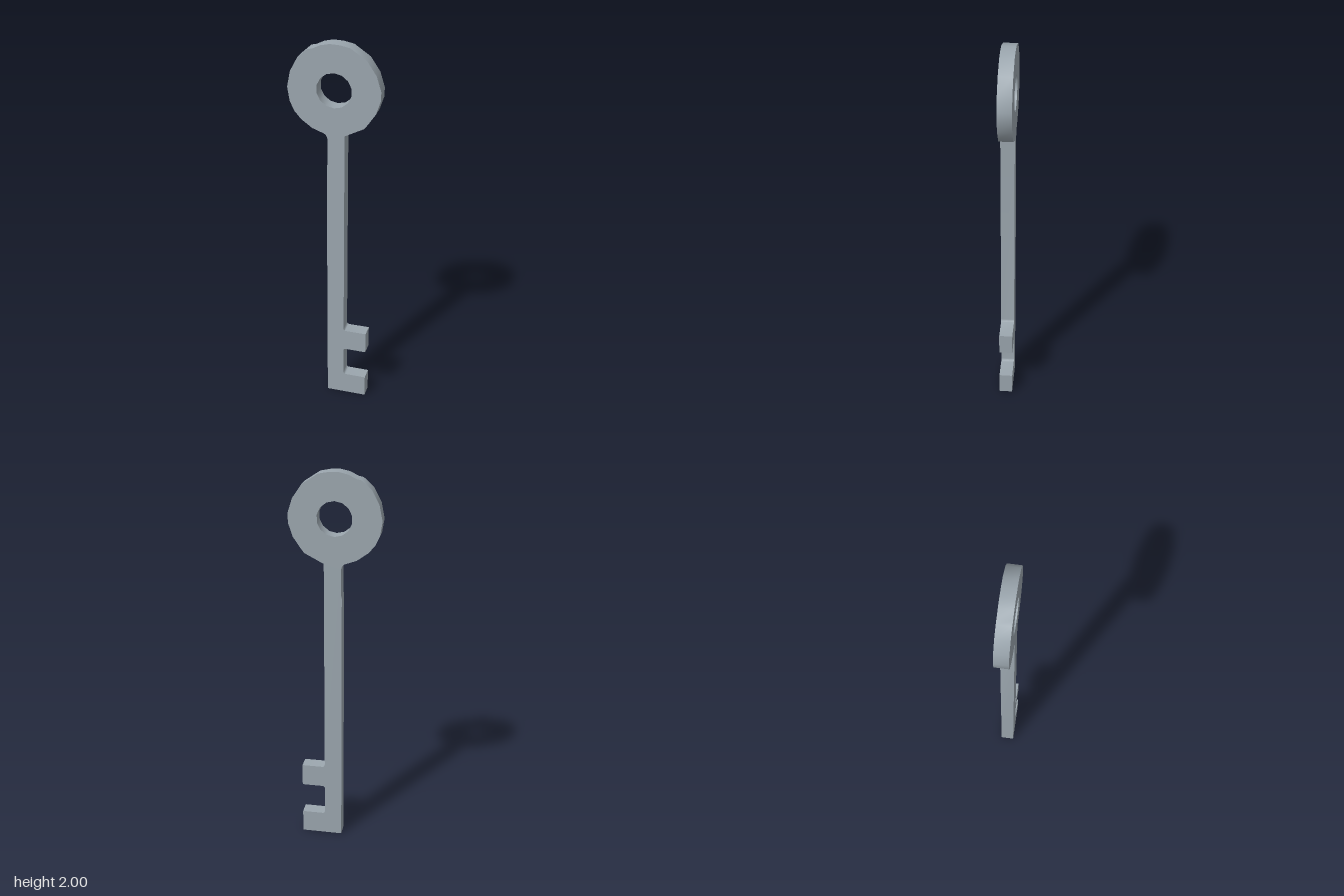
import * as THREE from 'three';
import { toCreasedNormals } from 'three/addons/utils/BufferGeometryUtils.js';

const DEPTH = 0.07;
const LEFT = -0.037, RIGHT = 0.053, BIT = 0.175, FILLET = 0.015;

export function createModel() {
  const steel = new THREE.MeshStandardMaterial({ color: 0x9ba6ae });
  steel.name = 'steel grey';

  const s = new THREE.Shape();
  // Lower bit, with filleted inner corners
  s.moveTo(LEFT, 0);
  s.lineTo(BIT, 0);
  s.lineTo(BIT, 0.12);
  s.lineTo(RIGHT + FILLET, 0.12);
  s.quadraticCurveTo(RIGHT, 0.12, RIGHT, 0.12 + FILLET);
  // Upper bit
  s.lineTo(RIGHT, 0.29 - FILLET);
  s.quadraticCurveTo(RIGHT, 0.29, RIGHT + FILLET, 0.29);
  s.lineTo(BIT, 0.29);
  s.lineTo(BIT, 0.408);
  s.lineTo(RIGHT + FILLET, 0.408);
  s.quadraticCurveTo(RIGHT, 0.408, RIGHT, 0.408 + FILLET);
  // Shaft and right shoulder
  s.lineTo(RIGHT, 1.545);
  s.lineTo(0.15, 1.595);
  s.lineTo(0.169, 1.62);
  // Slightly uneven hand-cut rim of the bow
  const rim = [
    [0.206, 1.675], [0.228, 1.742], [0.23, 1.79], [0.206, 1.866], [0.159, 1.935],
    [0.08, 1.988], [0.03, 1.998], [-0.02, 2], [-0.065, 1.99], [-0.106, 1.97], [-0.13, 1.965],
    [-0.18, 1.92], [-0.217, 1.85], [-0.233, 1.77], [-0.222, 1.7], [-0.2, 1.65],
    [-0.165, 1.61], [-0.11, 1.57], [-0.055, 1.55],
  ];
  for (const [x, y] of rim) s.lineTo(x, y);
  // Left shoulder back into the shaft
  s.quadraticCurveTo(-0.038, 1.545, -0.033, 1.52);
  s.lineTo(-0.033, 1.39);
  s.lineTo(LEFT, 1.37);
  s.closePath();

  // Round eye through the bow
  const eye = new THREE.Path();
  const sides = 14;
  for (let i = 0; i <= sides; i++) {
    const a = -((i + 0.5) / sides) * Math.PI * 2;
    const x = 0.088 * Math.cos(a), y = 1.772 + 0.088 * Math.sin(a);
    if (i === 0) eye.moveTo(x, y); else eye.lineTo(x, y);
  }
  s.holes.push(eye);

  const geometry = new THREE.ExtrudeGeometry(s, { depth: DEPTH, bevelEnabled: false, curveSegments: 4 });
  geometry.translate(0, 0, -DEPTH / 2);

  const key = new THREE.Mesh(toCreasedNormals(geometry, 0.65), steel);
  key.name = 'keyBody';

  const group = new THREE.Group();
  group.name = 'key';
  group.add(key);
  return group;
}
